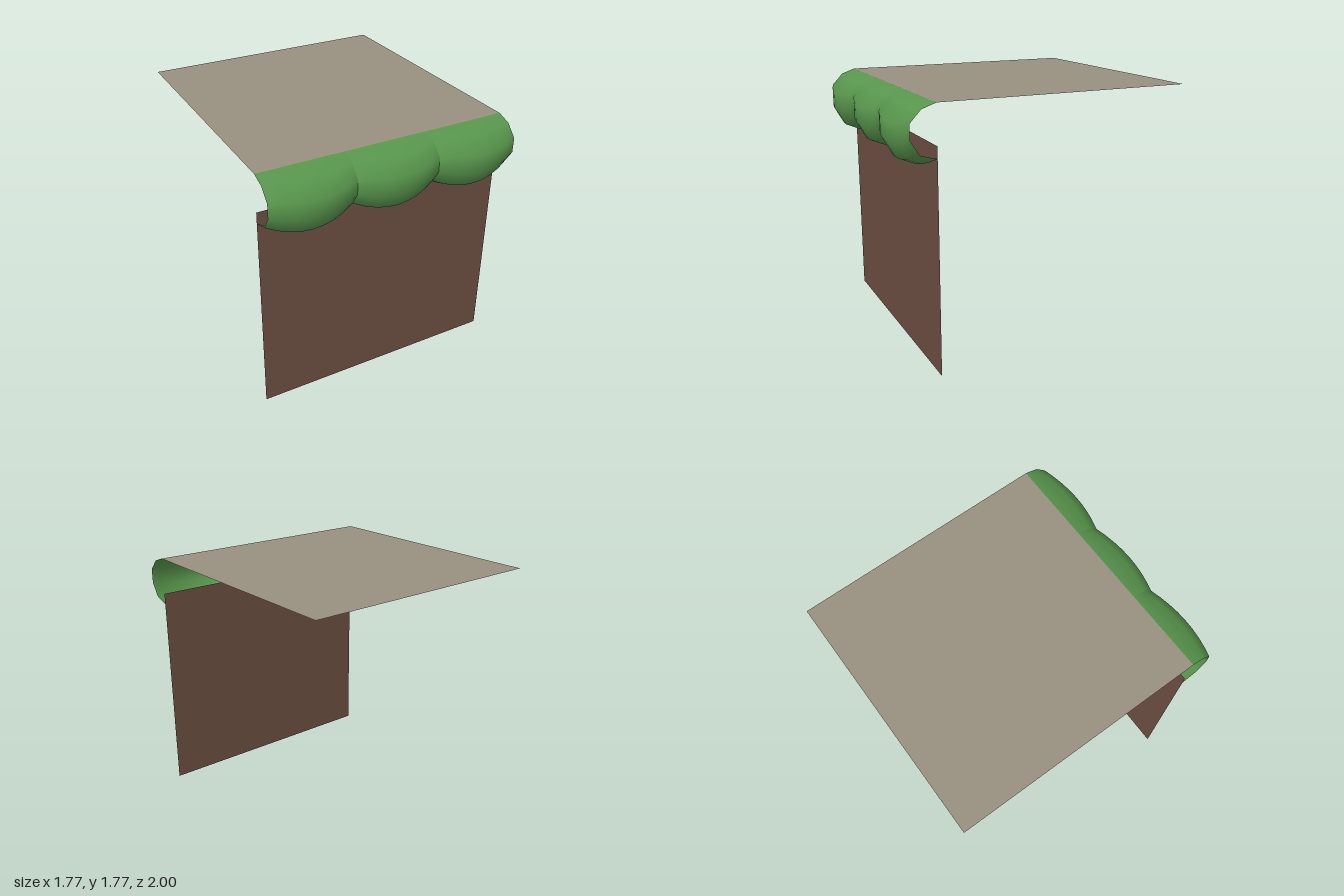
import * as THREE from 'three';

const WIDTH = 1.77, LOBES = 3, TOP = 1.77, EDGE_Z = 0.775;

// Lip cross-sections as [z, y], from the top edge down and under
const VALLEY = [[0.775, 1.77], [0.87, 1.737], [0.944, 1.658], [0.944, 1.556], [0.885, 1.465], [0.777, 1.433]];
const PEAK = [[0.775, 1.77], [0.91, 1.73], [1.0, 1.632], [1.0, 1.506], [0.938, 1.397], [0.837, 1.355]];

function material(color) {
  return new THREE.MeshStandardMaterial({ color, side: THREE.DoubleSide });
}

// One rounded lobe: a grid that swells from valley to peak and back
function lobeGeometry(width) {
  const rows = PEAK.length - 1;
  const geometry = new THREE.PlaneGeometry(width, 1, 8, rows);
  const p = geometry.attributes.position;
  for (let i = 0; i < p.count; i++) {
    const row = Math.round((0.5 - p.getY(i)) * rows);
    const u = p.getX(i) / (width / 2);
    const swell = 1 - u * u;
    const [z0, y0] = VALLEY[row], [z1, y1] = PEAK[row];
    p.setY(i, THREE.MathUtils.lerp(y0, y1, swell));
    p.setZ(i, THREE.MathUtils.lerp(z0, z1, swell));
  }
  geometry.computeVertexNormals();
  return geometry;
}

export function createModel() {
  const group = new THREE.Group();

  // Flat ground on top
  const ground = new THREE.Mesh(new THREE.PlaneGeometry(WIDTH, EDGE_Z + 1), material(0x989180));
  ground.name = 'topGround';
  ground.rotation.x = -Math.PI / 2;
  ground.position.set(0, TOP, (EDGE_Z - 1) / 2);
  group.add(ground);

  // Upright earth wall, stopping short of the ground
  const wall = new THREE.Mesh(new THREE.PlaneGeometry(WIDTH, 1.51), material(0x6b4e41));
  wall.name = 'frontWall';
  wall.position.set(0, 1.51 / 2, EDGE_Z);
  group.add(wall);

  // Scalloped grass lip rolling over the edge
  const lip = new THREE.Group();
  lip.name = 'grassLip';
  const lobeWidth = WIDTH / LOBES;
  const geometry = lobeGeometry(lobeWidth);
  const grass = material(0x58964c);
  for (let i = 0; i < LOBES; i++) {
    const lobe = new THREE.Mesh(geometry, grass);
    lobe.name = 'grassLobe' + (i + 1);
    lobe.position.x = (i - (LOBES - 1) / 2) * lobeWidth;
    lip.add(lobe);
  }
  group.add(lip);

  return group;
}
